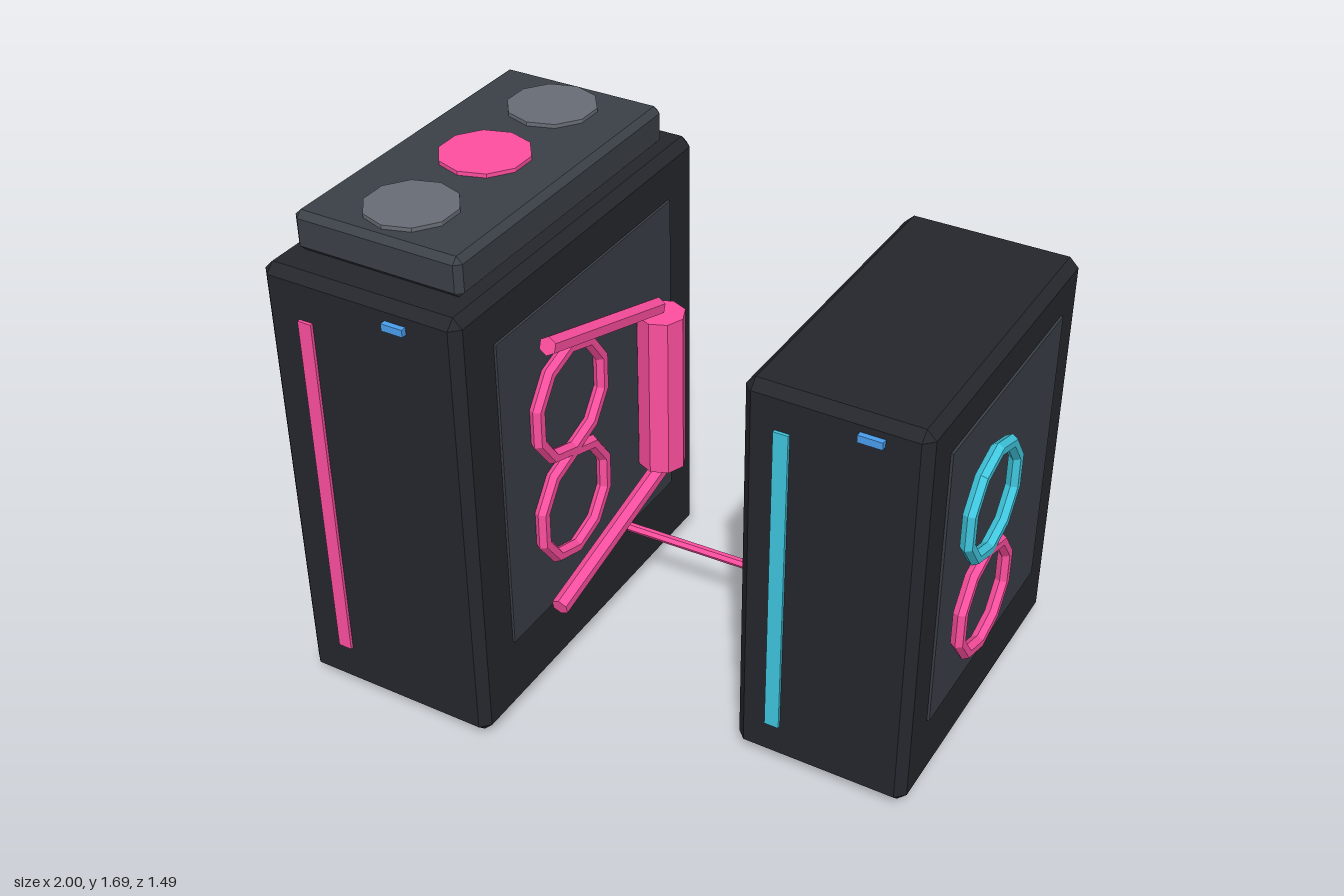
import * as THREE from 'three';
import { ConvexGeometry } from 'three/addons/geometries/ConvexGeometry.js';

const mat = (color) => new THREE.MeshStandardMaterial({ color, flatShading: true });
const CASE = mat(0x26272d), BASE = mat(0x1e1f26), GLASS = mat(0x3a3f47), TRIM = mat(0x3b4148);
const PINK = mat(0xff4fa0), CYAN = mat(0x40c8e0), BLUE = mat(0x4a9ff0), GREY = mat(0x696d76);

function add(parent, name, geometry, material, x = 0, y = 0, z = 0) {
  const mesh = new THREE.Mesh(geometry, material);
  mesh.name = name;
  mesh.position.set(x, y, z);
  parent.add(mesh);
  return mesh;
}

// Box given by its minimum and maximum corners
function span(parent, name, material, [x0, y0, z0], [x1, y1, z1]) {
  const g = new THREE.BoxGeometry(x1 - x0, y1 - y0, z1 - z0);
  return add(parent, name, g, material, (x0 + x1) / 2, (y0 + y1) / 2, (z0 + z1) / 2);
}

// Box with 45 degree chamfers on all edges
function chamferBox(w, h, d, c) {
  const points = [];
  for (const sx of [-1, 1]) for (const sy of [-1, 1]) for (const sz of [-1, 1]) {
    for (let flat = 0; flat < 3; flat++) {
      points.push(new THREE.Vector3(
        sx * (w / 2 - (flat === 0 ? 0 : c)),
        sy * (h / 2 - (flat === 1 ? 0 : c)),
        sz * (d / 2 - (flat === 2 ? 0 : c))));
    }
  }
  return new ConvexGeometry(points);
}

// Straight six-sided pipe between two points
function pipe(parent, name, a, b, radius) {
  const p = new THREE.Vector3(...a), q = new THREE.Vector3(...b);
  const dir = q.clone().sub(p);
  const mesh = add(parent, name, new THREE.CylinderGeometry(radius, radius, dir.length(), 6), PINK);
  mesh.position.copy(p).add(q).multiplyScalar(0.5);
  mesh.quaternion.setFromUnitVectors(new THREE.Vector3(0, 1, 0), dir.normalize());
}

// Ten-sided light ring facing +x, with a corner at the top
function ring(parent, material, radius, tube, x, y, z) {
  const g = new THREE.TorusGeometry(radius, tube, 6, 10);
  g.rotateZ(Math.PI / 2).rotateY(Math.PI / 2);
  add(parent, 'fanRing', g, material, x, y, z);
}

// Case with foot plate, side window, front light strip and power button
function tower(root, name, o) {
  const t = new THREE.Group();
  t.name = name;
  root.add(t);
  const side = o.x + o.w / 2, front = o.z + o.d / 2;
  add(t, 'case', chamferBox(o.w, o.top - 0.02, o.d, 0.03), CASE, o.x, (o.top + 0.02) / 2, o.z);
  add(t, 'footPlate', new THREE.BoxGeometry(o.w * 0.8, 0.04, o.d * 0.865), BASE, o.x, 0.02, o.z);
  span(t, 'sideWindow', GLASS, [side - 0.01, o.win[0], o.win[2]], [side + 0.008, o.win[1], o.win[3]]);
  span(t, 'lightStrip', o.light, [o.strip[0], o.strip[2], front - 0.01], [o.strip[1], o.strip[3], front + 0.01]);
  span(t, 'powerButton', BLUE, [o.button[0], o.button[2], front - 0.01], [o.button[1], o.button[3], front + 0.018]);
  return t;
}

export function createModel() {
  const root = new THREE.Group();
  root.name = 'linkedTowers';

  const large = tower(root, 'largeTower', {
    x: -0.658, z: 0.068, w: 0.685, d: 1.315, top: 1.545, light: PINK,
    win: [0.29, 1.39, -0.42, 0.556], strip: [-0.87, -0.823, 0.175, 1.395],
    button: [-0.56, -0.488, 1.462, 1.486],
  });
  const small = tower(root, 'smallTower', {
    x: 0.658, z: -0.193, w: 0.575, d: 1.105, top: 1.388, light: CYAN,
    win: [0.265, 1.25, -0.6, 0.217], strip: [0.477, 0.525, 0.16, 1.253],
    button: [0.735, 0.812, 1.312, 1.336],
  });

  // Top radiator with three fan discs
  add(large, 'radiator', chamferBox(0.577, 0.13, 1.106, 0.02), TRIM, -0.658, 1.613, 0.068);
  [-0.368, 0, 0.368].forEach((dz, i) => {
    add(large, 'fanDisc', new THREE.CylinderGeometry(0.144, 0.144, 0.03, 10),
      i === 1 ? PINK : GREY, -0.658, 1.676, 0.068 + dz);
  });

  // Light rings on the side windows
  for (const y of [1.02, 0.64]) ring(large, PINK, 0.186, 0.024, -0.29, y, 0.22);
  ring(small, CYAN, 0.178, 0.023, 0.98, 0.925, -0.06);
  ring(small, PINK, 0.178, 0.023, 0.98, 0.563, -0.06);

  // Reservoir and coolant pipes
  add(large, 'reservoir', new THREE.CylinderGeometry(0.08, 0.08, 0.575, 8), PINK, -0.248, 0.793, -0.258);
  pipe(large, 'upperPipe', [-0.253, 1.11, -0.245], [-0.253, 1.307, 0.38], 0.03);
  pipe(large, 'lowerPipe', [-0.253, 0.475, -0.245], [-0.253, 0.327, 0.38], 0.03);

  // Pipe linking the two towers
  pipe(root, 'linkPipe', [-0.33, 0.27, -0.149], [0.955, 0.268, -0.192], 0.016);
  return root;
}
